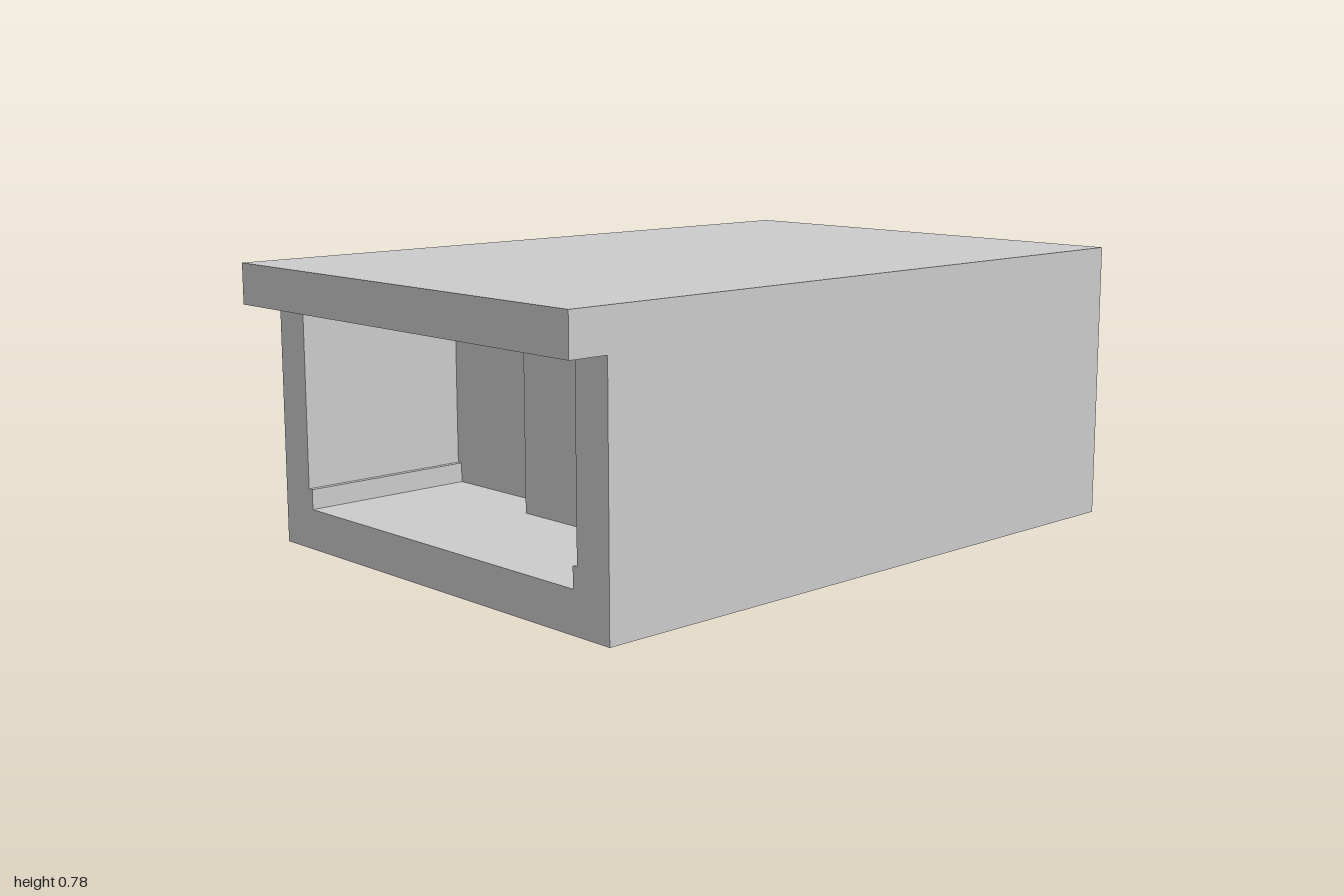
import * as THREE from 'three';

const U = 1 / 9; // wall thickness

export function createModel() {
  const group = new THREE.Group();
  const material = new THREE.MeshStandardMaterial({ color: 0xcccccc, flatShading: true });

  // Box between two corners
  const box = (name, [x0, y0, z0], [x1, y1, z1]) => {
    const mesh = new THREE.Mesh(new THREE.BoxGeometry(x1 - x0, y1 - y0, z1 - z0), material);
    mesh.position.set((x0 + x1) / 2, (y0 + y1) / 2, (z0 + z1) / 2);
    mesh.name = name;
    group.add(mesh);
  };

  const open = -1 + U;         // plane of the open end
  const inner = -1 + 5.5 * U;  // end of the recess
  const top = 6 * U, half = 6 * U, wall = 5 * U;

  // Lid overhanging the open end
  box('lid', [-1, top, -half], [1, 7 * U, half]);

  // Solid body behind the recess
  box('body', [inner, 0, -half], [1, top, half]);

  // Floor of the recess
  box('floor', [open, 0, -half], [inner, U, half]);

  // Side walls, each with a slim ledge along the floor
  for (const s of [-1, 1]) {
    const side = s > 0 ? 'left' : 'right';
    const span = (a, b) => [Math.min(s * a, s * b), Math.max(s * a, s * b)];
    const [w0, w1] = span(wall, half);
    box(side + 'Wall', [open, U, w0], [inner, top, w1]);
    const [l0, l1] = span(wall - 0.015, wall);
    box(side + 'Ledge', [open, U, l0], [inner, U + 0.055, l1]);
  }

  // Central rib on the end of the recess
  box('rib', [inner - U, U, -U], [inner, top, U]);

  return group;
}
